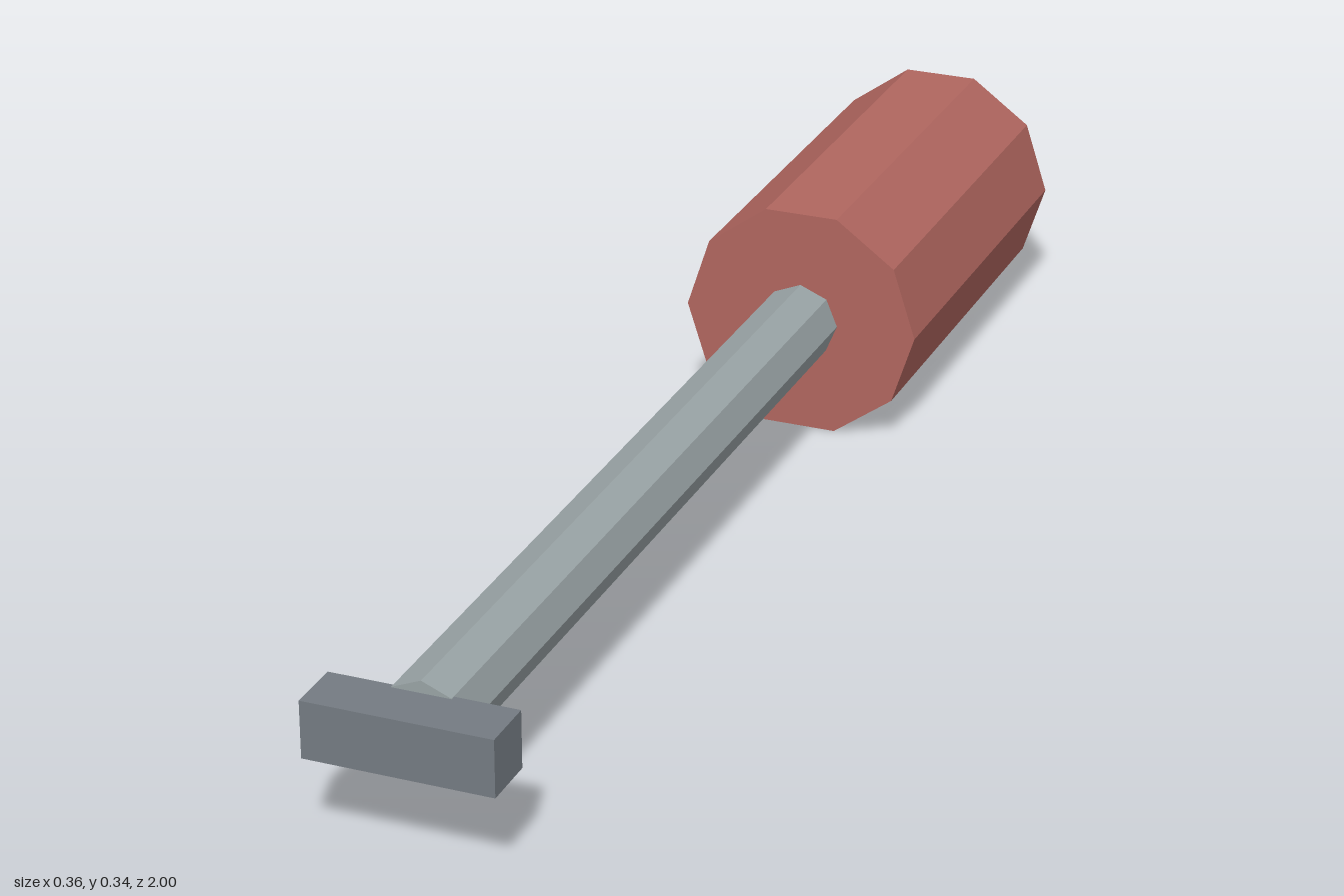
import * as THREE from 'three';

const AXIS_Y = 0.171;

function material(name, color) {
  const m = new THREE.MeshStandardMaterial({ color, flatShading: true });
  m.name = name;
  return m;
}

// Faceted rod lying along z, between two z positions
function rod(name, radius, sides, zBack, zFront, mat, thetaStart = 0) {
  const geometry = new THREE.CylinderGeometry(
    radius, radius, zFront - zBack, sides, 1, false, thetaStart);
  geometry.rotateX(Math.PI / 2);
  const mesh = new THREE.Mesh(geometry, mat);
  mesh.name = name;
  mesh.position.set(0, AXIS_Y, (zBack + zFront) / 2);
  return mesh;
}

export function createModel() {
  const red = material('handle red', 0xb0665f);
  const steel = material('light steel', 0x99a3a5);
  const darkSteel = material('dark steel', 0x747b82);

  const model = new THREE.Group();
  model.name = 'screwdriver';

  // Ten-sided grip with corners pointing sideways
  model.add(rod('handle', 0.179, 10, -1, -0.38, red, Math.PI / 2));

  // Eight-sided shaft, seated slightly in the handle and the tip
  model.add(rod('shaft', 0.058, 8, -0.39, 0.927, steel));

  // Flat crosswise blade at the front end
  const tip = new THREE.Mesh(new THREE.BoxGeometry(0.262, 0.081, 0.08), darkSteel);
  tip.name = 'tip';
  tip.position.set(0, AXIS_Y, 0.96);
  model.add(tip);

  return model;
}
